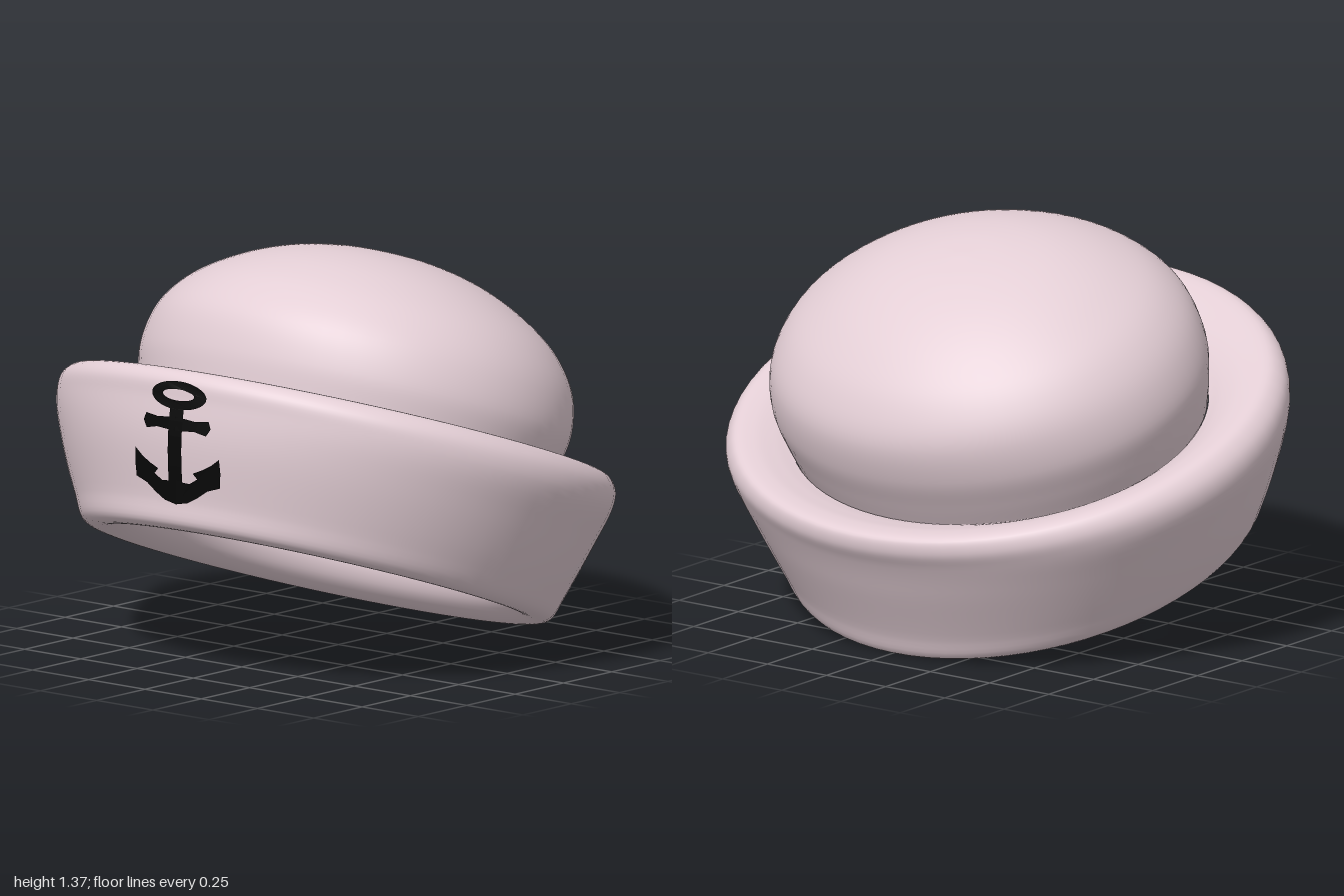
import * as THREE from 'three';
import { mergeVertices } from 'three/addons/utils/BufferGeometryUtils.js';

const TILT = -THREE.MathUtils.degToRad(20);

// Smooth oval shell swept around a profile of [half width x, half depth z, height]
function ovalShell(rows, steps, segments, centre) {
  const curve = new THREE.CatmullRomCurve3(rows.map(([rx, rz, y]) => new THREE.Vector3(rx, y, rz)));
  const pts = curve.getPoints(steps);
  let geo = new THREE.LatheGeometry(pts.map(p => new THREE.Vector2(Math.max(p.x, 0), p.y)), segments);
  const pos = geo.attributes.position;
  for (let i = 0; i < pos.count; i++) {
    const p = pts[i % pts.length];
    const shift = centre + 0.04 * THREE.MathUtils.smoothstep(p.x, 0.8, 1); // brim leans forward
    pos.setZ(i, shift + (p.x > 1e-4 ? pos.getZ(i) * p.z / p.x : 0));
  }
  geo.deleteAttribute('normal');
  geo.deleteAttribute('uv');
  geo = mergeVertices(geo, 1e-4);
  geo.computeVertexNormals();
  return geo;
}

export function createModel() {
  const model = new THREE.Group();
  model.name = 'sailorHat';
  const cloth = new THREE.MeshStandardMaterial({ color: 0xe3ced5 });
  cloth.name = 'pale pink cloth';
  const ink = new THREE.MeshStandardMaterial({ color: 0x070707, side: THREE.DoubleSide });
  ink.name = 'black';

  function addCloth(name, rows, steps, centre, roll = 0) {
    const mesh = new THREE.Mesh(ovalShell(rows, steps, 72, centre), cloth);
    mesh.name = name;
    mesh.rotation.set(TILT, 0, roll);
    mesh.updateMatrixWorld(true);
    model.add(mesh);
    return mesh;
  }

  // Inside of the crown, and the wide ledge above the head opening
  addCloth('lining', [
    [0, 0, 1.25], [0.37, 0.33, 1.19], [0.62, 0.55, 1.02], [0.68, 0.6, 0.84], [0.58, 0.52, 0.66],
    [0.46, 0.41, 0.55], [0.455, 0.41, 0.505], [0.55, 0.5, 0.475], [0.68, 0.62, 0.462],
  ], 48, 0.2);

  // Thick turned-up brim: inner wall, rounded bottom, flared outside and broad flat top
  const brim = addCloth('brim', [
    [0.68, 0.62, 0.465], [0.665, 0.61, 0.4], [0.645, 0.6, 0.32], [0.67, 0.635, 0.25],
    [0.74, 0.72, 0.205], [0.81, 0.797, 0.216], [0.865, 0.817, 0.3], [0.95, 0.867, 0.48],
    [1, 0.892, 0.615], [0.99, 0.904, 0.68], [0.945, 0.88, 0.724], [0.87, 0.79, 0.722],
    [0.8, 0.71, 0.695], [0.75, 0.65, 0.665],
  ], 72, 0.198, 0.012);

  // Puffy crown
  addCloth('crown', [
    [0.74, 0.65, 0.64], [0.765, 0.668, 0.73], [0.782, 0.686, 0.84], [0.75, 0.674, 0.97],
    [0.67, 0.6, 1.085], [0.53, 0.475, 1.185], [0.36, 0.32, 1.26], [0.18, 0.16, 1.3], [0, 0, 1.313],
  ], 48, 0.21);

  // Anchor on the front, laid just above the brim surface
  const anchor = new THREE.Group();
  anchor.name = 'anchor';
  model.add(anchor);
  const ray = new THREE.Raycaster();
  const CX = 0.022;

  function addPlate(name, shape) {
    const geo = new THREE.ShapeGeometry(shape, 24);
    const pos = geo.attributes.position;
    for (let i = 0; i < pos.count; i++) {
      ray.set(new THREE.Vector3(pos.getX(i), pos.getY(i), 2), new THREE.Vector3(0, 0, -1));
      const hit = ray.intersectObject(brim)[0];
      pos.setZ(i, (hit ? hit.point.z : 0.84) + 0.006);
    }
    geo.computeVertexNormals();
    const mesh = new THREE.Mesh(geo, ink);
    mesh.name = name;
    anchor.add(mesh);
  }
  const outline = (pts, s = 1) => new THREE.Shape(pts.map(([x, y]) => new THREE.Vector2(CX + s * x, y)));

  const ring = new THREE.Shape();
  ring.absellipse(CX, 0.985, 0.117, 0.047, 0, Math.PI * 2, false);
  const hole = new THREE.Path();
  hole.absellipse(CX, 0.987, 0.068, 0.019, 0, Math.PI * 2, true);
  ring.holes.push(hole);
  addPlate('anchorRing', ring);

  // Shank in short pieces so that it follows the brim
  for (let i = 0; i < 6; i++) {
    const a = 0.64 + i * 0.052, b = a + 0.052;
    addPlate('anchorShank', outline([[-0.029, a], [0.029, a], [0.029, b], [-0.029, b]]));
  }
  for (const s of [-1, 1]) {
    addPlate('anchorBar', outline([
      [0, 0.866], [0.08, 0.872], [0.128, 0.862], [0.145, 0.887], [0.135, 0.912], [0.08, 0.906], [0, 0.914],
    ], s));
    addPlate('anchorArm', outline([
      [0, 0.613], [0.05, 0.623], [0.09, 0.645], [0.13, 0.672], [0.18, 0.688], [0.184, 0.74],
      [0.18, 0.787], [0.15, 0.764], [0.115, 0.745], [0.075, 0.728], [0.092, 0.71], [0.06, 0.69],
      [0.03, 0.692], [0, 0.7],
    ], s));
  }
  return model;
}
